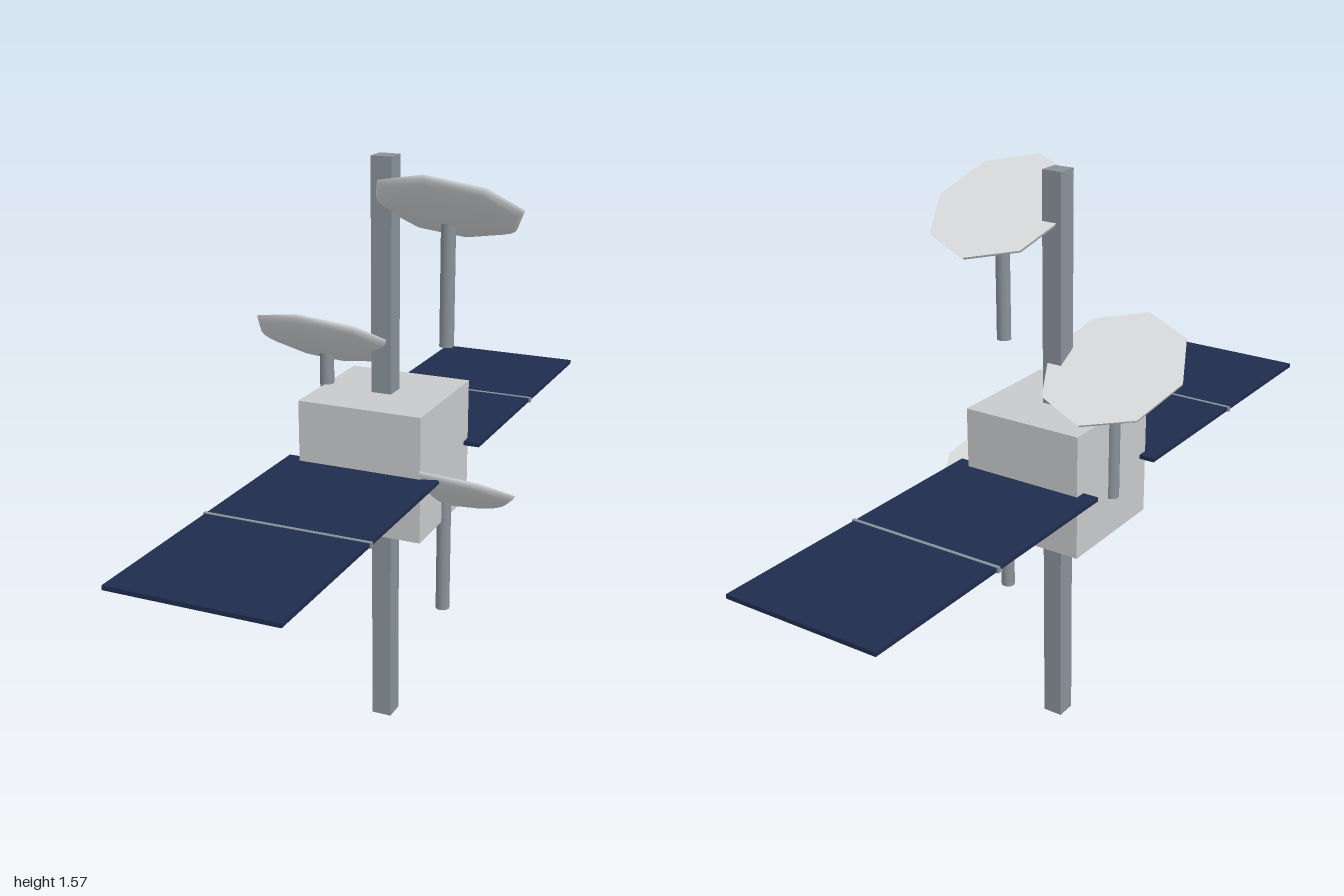
import * as THREE from 'three';

const paint = (name, color) => {
  const m = new THREE.MeshStandardMaterial({ color });
  m.name = name;
  return m;
};

export function createModel() {
  const model = new THREE.Group();
  model.name = 'satellite';
  const hull = paint('hullGrey', 0xc8cacc);
  const metal = paint('mastGrey', 0x89929a);
  const white = paint('dishWhite', 0xdadcde);
  const blue = paint('panelBlue', 0x202c4e);

  const add = (parent, name, geometry, material, x = 0, y = 0, z = 0) => {
    const mesh = new THREE.Mesh(geometry, material);
    mesh.name = name;
    mesh.position.set(x, y, z);
    parent.add(mesh);
    return mesh;
  };

  // Central mast and cubic body
  add(model, 'mast', new THREE.BoxGeometry(0.056, 1.572, 0.056), metal, 0, 0.786, 0);
  add(model, 'body', new THREE.BoxGeometry(0.34, 0.34, 0.34), hull, 0, 0.79, 0);

  // Solar wings, front and back, each with a seam across the middle
  for (const side of [1, -1]) {
    const wing = new THREE.Group();
    wing.name = side > 0 ? 'frontWing' : 'backWing';
    add(wing, 'solarPanel', new THREE.BoxGeometry(0.428, 0.011, 0.86), blue, 0, 0.79, side * 0.57);
    add(wing, 'panelSeam', new THREE.BoxGeometry(0.438, 0.014, 0.009), metal, 0, 0.79, side * 0.572);
    model.add(wing);
  }

  // Eight-sided dishes tilted to the back, each on a round strut
  const radius = 0.197;
  const bowl = new THREE.SphereGeometry(radius, 8, 8, 0, Math.PI * 2, Math.PI / 2, Math.PI / 2);
  bowl.scale(1, 0.24, 1);
  const face = new THREE.CircleGeometry(radius, 8).rotateX(-Math.PI / 2);
  const strut = new THREE.CylinderGeometry(0.019, 0.019, 0.34, 12);
  for (const [name, x, y] of [['upperDish', 0.17, 1.46], ['middleDish', -0.17, 1.09], ['lowerDish', 0.17, 0.72]]) {
    const antenna = new THREE.Group();
    antenna.name = name;
    antenna.position.set(x, y, 0);
    add(antenna, 'strut', strut, metal, 0, -0.19, 0);
    const dish = new THREE.Group();
    dish.name = 'dish';
    dish.rotation.x = -Math.PI / 6;
    add(dish, 'dishBowl', bowl, white);
    add(dish, 'dishFace', face, white);
    antenna.add(dish);
    model.add(antenna);
  }
  return model;
}
